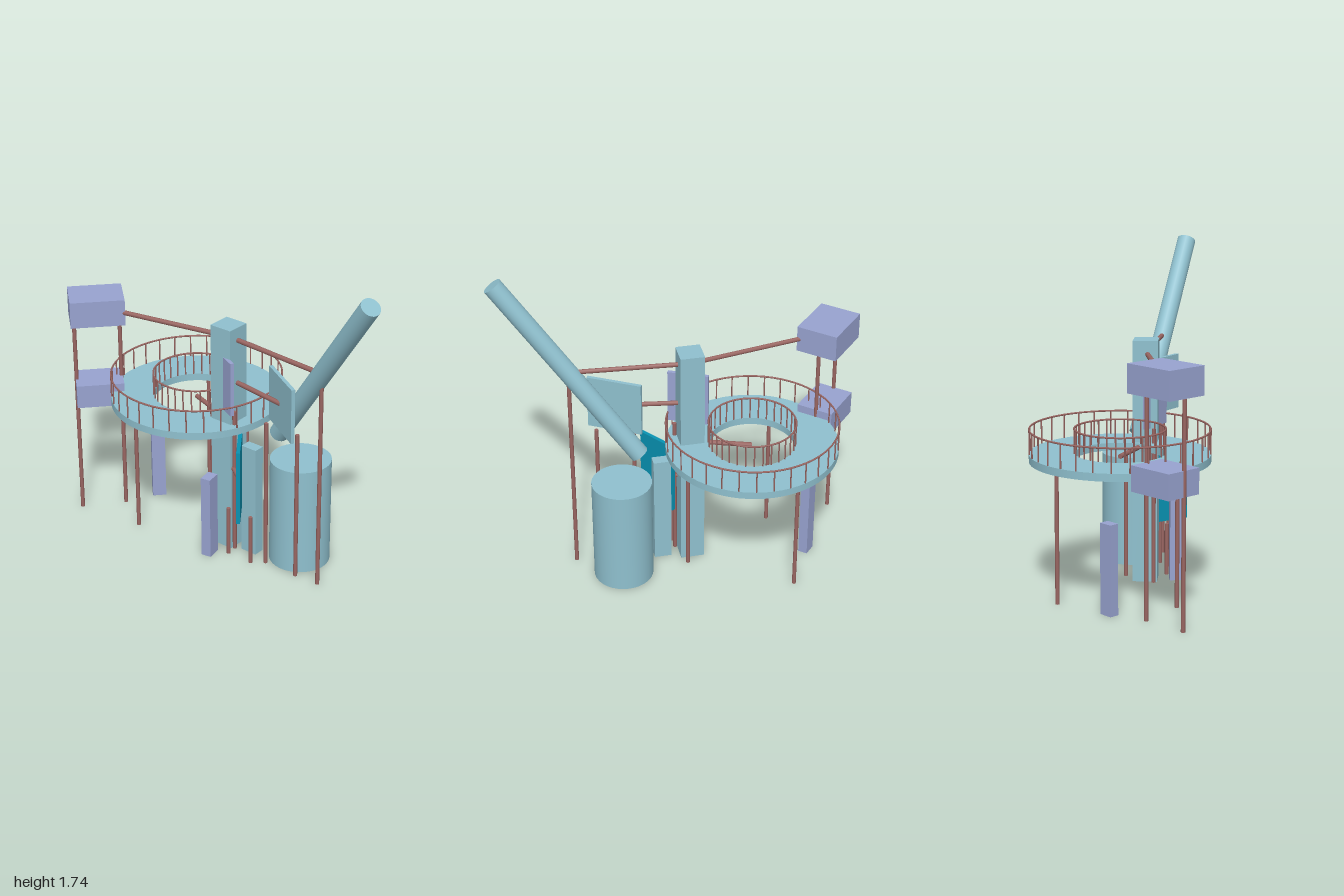
import * as THREE from 'three';

const paint = (name, color) => {
  const m = new THREE.MeshStandardMaterial({ color });
  m.name = name;
  return m;
};

export function createModel() {
  const paleTeal = paint('pale teal', 0x8fc0ce);
  const lavender = paint('lavender', 0x98a3d0);
  const rust = paint('rust brown', 0x9a6662);
  const deepTeal = paint('deep teal', 0x0892b2);
  const model = new THREE.Group();
  model.name = 'towerSculpture';

  const add = (name, geometry, material, x = 0, y = 0, z = 0, parent = model) => {
    const mesh = new THREE.Mesh(geometry, material);
    mesh.name = name;
    mesh.position.set(x, y, z);
    parent.add(mesh);
    return mesh;
  };

  // Upright block from y0 to y1, turned about the vertical by some degrees
  const block = (name, material, [w, d], [x, z], y0, y1, turn = 0) => {
    const mesh = add(name, new THREE.BoxGeometry(w, y1 - y0, d), material, x, (y0 + y1) / 2, z);
    mesh.rotation.y = THREE.MathUtils.degToRad(turn);
  };

  // Round bar between two points
  const bar = (name, material, a, b, radius, sides = 8) => {
    const from = new THREE.Vector3(...a), to = new THREE.Vector3(...b);
    const dir = to.clone().sub(from);
    const mesh = add(name, new THREE.CylinderGeometry(radius, radius, dir.length(), sides), material);
    mesh.position.copy(from).add(to).multiplyScalar(0.5);
    mesh.quaternion.setFromUnitVectors(new THREE.Vector3(0, 1, 0), dir.normalize());
  };

  // Central tower and its companion blocks
  block('tower', paleTeal, [0.13, 0.13], [-0.026, 0.108], 0, 1.29);
  block('lowPillar', paleTeal, [0.095, 0.06], [0.133, 0.11], 0, 0.635);
  block('frontPillar', lavender, [0.055, 0.08], [-0.025, 0.275], 0, 0.47, 10);
  block('sidePillar', lavender, [0.075, 0.052], [-0.658, -0.025], 0, 0.47, 48);

  // Two stacked boxes on posts
  block('upperBox', lavender, [0.29, 0.23], [-0.817, 0.26], 1.15, 1.295, 48);
  block('lowerBox', lavender, [0.257, 0.204], [-0.817, 0.26], 0.67, 0.8, 48);

  // Turned panels
  block('lavenderPanel', lavender, [0.22, 0.02], [-0.025, 0.155], 0.83, 1.13, -25);
  block('palePanel', paleTeal, [0.3, 0.02], [0.368, 0.165], 0.83, 1.13, -30);
  block('deepPanel', deepTeal, [0.236, 0.02], [0.132, 0.215], 0.28, 0.7, -54);

  // Tank and leaning tube
  add('tank', new THREE.CylinderGeometry(0.162, 0.162, 0.6, 32), paleTeal, 0.37, 0.3, 0);
  bar('leaningTube', paleTeal, [0.262, 0.733, 0.047], [0.956, 1.712, 0.263], 0.051, 24);

  // Ring deck
  const deck = new THREE.Group();
  deck.name = 'ringDeck';
  deck.position.set(-0.34, 0.715, 0);
  model.add(deck);
  const outer = 0.463, inner = 0.23, slab = 0.04, railHeight = 0.165;
  const profile = [[inner, 0], [outer, 0], [outer, slab], [inner, slab], [inner, 0]];
  // Separate lathe faces keep the slab edges sharp
  for (let i = 0; i < 4; i++) {
    const pts = [profile[i], profile[i + 1]].map(p => new THREE.Vector2(...p));
    add('deckFace', new THREE.LatheGeometry(pts, 64), paleTeal, 0, 0, 0, deck);
  }

  // Railings round both edges
  for (const r of [outer - 0.003, inner + 0.003]) {
    const rail = add('handrail', new THREE.TorusGeometry(r, 0.005, 6, 64), rust, 0, railHeight, 0, deck);
    rail.rotation.x = Math.PI / 2;
    const count = 32;
    for (let i = 0; i < count; i++) {
      const a = (i / count) * Math.PI * 2;
      add('baluster', new THREE.CylinderGeometry(0.004, 0.004, railHeight - slab, 6), rust,
        r * Math.cos(a), (railHeight + slab) / 2, r * Math.sin(a), deck);
    }
  }

  // Posts: x, z, height
  const posts = [
    [-0.895, 0.355, 1.15], [-0.74, 0.165, 1.15],
    [0.01, 0, 0.72], [-0.515, 0.303, 0.72], [-0.515, -0.303, 0.72],
    [-0.1, 0.155, 0.83], [0.05, 0.155, 0.83],
    [0.27, 0.165, 0.84], [0.47, 0.165, 0.84],
    [0.057, 0.215, 0.28], [0.207, 0.215, 0.28],
    [0.607, 0.155, 1.15],
  ];
  for (const [x, z, h] of posts) bar('post', rust, [x, 0, z], [x, h, z], 0.011);

  // Horizontal arms from the tower to each part
  const arms = [[-0.817, 1.22, 0.26], [0.605, 1.22, 0.155], [0.36, 0.98, 0.165], [0.13, 0.49, 0.215], [-0.34, 0.735, 0]];
  for (const end of arms) bar('arm', rust, [-0.026, end[1], 0.108], end, 0.013);

  return model;
}
